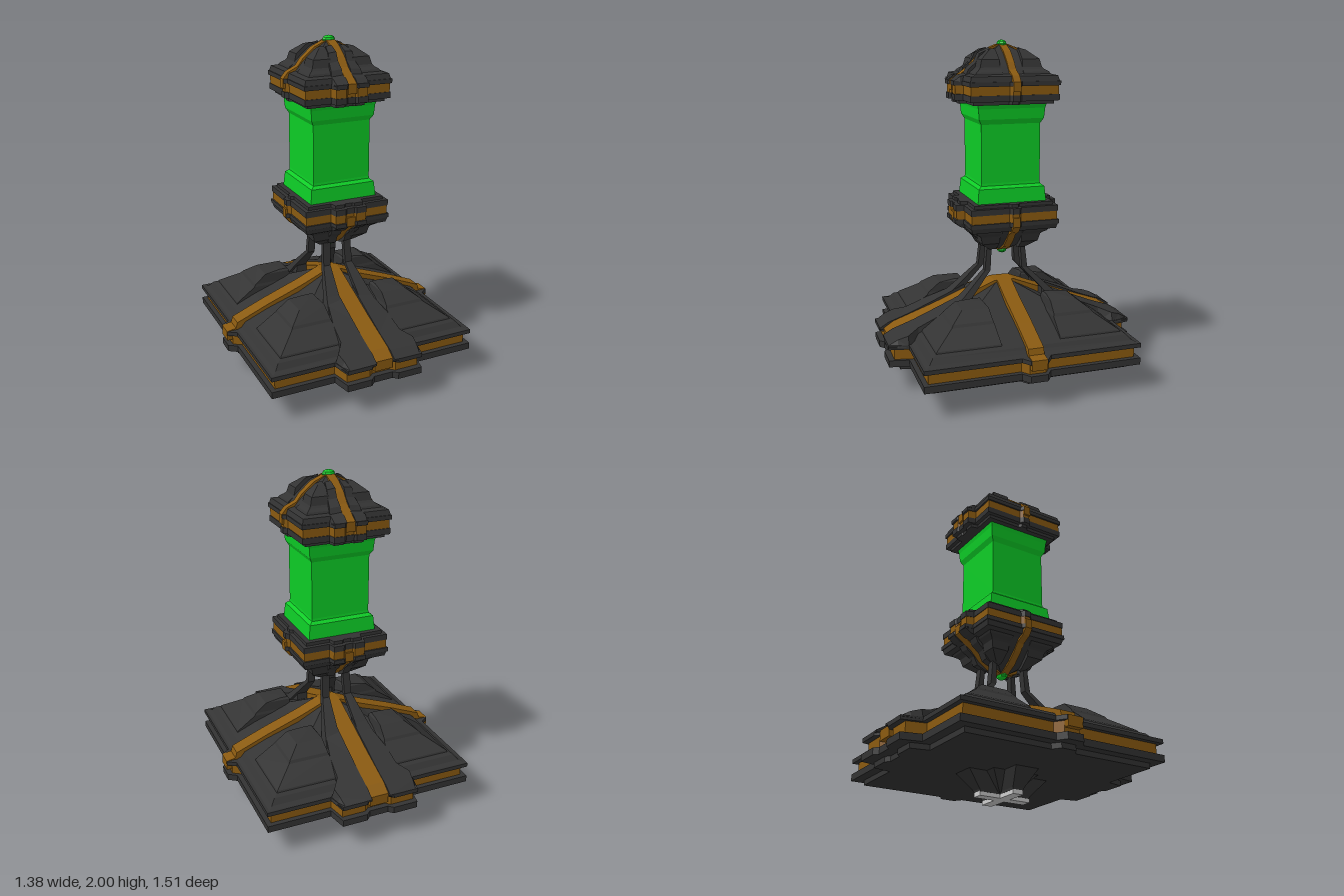
import * as THREE from 'three';

const mat = (color) => new THREE.MeshStandardMaterial({ color, flatShading: true, side: THREE.DoubleSide });
const dark = mat(0x333333), amber = mat(0x8a5a10), green = mat(0x0dcc26), grey = mat(0xcccccc);

// Skins a list of equal-length rings of [x, y, z] and caps both ends, facing outward
function loft(rings) {
  const tris = [];
  const n = rings[0].length;
  for (let i = 0; i < rings.length - 1; i++) {
    for (let j = 0; j < n; j++) {
      const k = (j + 1) % n;
      const a = rings[i][j], b = rings[i][k], c = rings[i + 1][k], d = rings[i + 1][j];
      tris.push([a, b, c], [a, c, d]);
    }
  }
  const cap = (ring, flip) => {
    const mid = [0, 1, 2].map((c) => ring.reduce((s, p) => s + p[c], 0) / n);
    ring.forEach((p, j) => {
      const q = ring[(j + 1) % n];
      tris.push(flip ? [mid, q, p] : [mid, p, q]);
    });
  };
  cap(rings[0], true);
  cap(rings[rings.length - 1], false);
  // signed volume tells whether the skin is inside out
  let volume = 0;
  for (const [a, b, c] of tris) {
    volume += a[0] * (b[1] * c[2] - b[2] * c[1]) + a[1] * (b[2] * c[0] - b[0] * c[2]) + a[2] * (b[0] * c[1] - b[1] * c[0]);
  }
  if (volume < 0) tris.forEach((t) => t.reverse());
  const geo = new THREE.BufferGeometry();
  geo.setAttribute('position', new THREE.Float32BufferAttribute(tris.flat(2), 3));
  geo.computeVertexNormals();
  return geo;
}

function add(group, name, geo, material) {
  const mesh = new THREE.Mesh(geo, material);
  mesh.name = name;
  group.add(mesh);
  return mesh;
}

const rect = (x0, x1, z0, z1, y) => [[x0, y, z0], [x1, y, z0], [x1, y, z1], [x0, y, z1]];
const square = ([r, y]) => rect(-r, r, -r, r, y);

// Plan of the rim: a square with a notched bump front and back and a small bump each side
const quarter = [[0.69, 0.05], [0.64, 0.085], [0.64, 0.64], [0.26, 0.64], [0.235, 0.755], [0.085, 0.755], [0.058, 0.73]];
const mirrored = (sx, sz) => quarter.map(([x, z]) => [x * sx, z * sz]);
const plan = [
  ...mirrored(1, 1), ...mirrored(-1, 1).reverse(),
  ...mirrored(-1, -1), ...mirrored(1, -1).reverse(),
];

// One roof-like shell: layered rim, stepped pyramid, corner plates, ridges and flanks
function shell(name, o, mapY = (y) => y) {
  const group = new THREE.Group();
  group.name = name;
  const build = (part, rings, material) =>
    add(group, part, loft(rings.map((ring) => ring.map(([x, y, z]) => [x, mapY(y), z]))), material);

  for (const [part, k, y0, y1] of o.layers) {
    const ring = (y, f) => plan.map(([x, z]) => [x * f * o.s, y, z * f * o.s]);
    build(part, [ring(y0, k), ring(y1, k)], part === 'rimBand' ? amber : dark);
  }
  build('pyramid', o.core.map(square), dark);

  for (const sx of [1, -1]) {
    for (const sz of [1, -1]) {
      // raised plate wrapping each corner of the pyramid
      const plate = o.plate.map(([a, r, y]) => rect(a * sx, r * sx, a * sz, r * sz, y));
      build('cornerPlate', plate, dark);
      // raised flank beside the front and back ridges
      const flank = o.flank.map(([r, y, w]) => [
        [o.zHalf * sx, y, r * sz], [w * sx, y - 0.006, r * sz],
        [(w + o.bevel) * sx, o.flankBase, r * sz], [o.zHalf * sx, o.flankBase, r * sz],
      ]);
      build('ridgeFlank', flank, dark);
    }
  }

  // amber ridges running from the rim to the apex on all four faces
  for (const side of [1, -1]) {
    const section = (r, y, w) => [[-w, y, r], [w, y, r], [w, o.ridgeBase, r], [-w, o.ridgeBase, r]];
    build('ridgeZ', o.ridgeZ.map(([r, y]) => section(r * side, y, o.zHalf)), amber);
    build('ridgeX', o.ridgeX.map(([r, y]) => section(r * side, y, o.xHalf).map(([a, b, c]) => [c, b, a])), amber);
  }
  return group;
}

const baseShape = {
  s: 1, zHalf: 0.056, xHalf: 0.046, bevel: 0.02, ridgeBase: 0.23, flankBase: 0.28,
  layers: [
    ['rimUnderside', 0.91, 0.13, 0.16], ['rimLowerLip', 1, 0.16, 0.2],
    ['rimBand', 0.955, 0.2, 0.265], ['rimUpperLip', 1, 0.265, 0.29],
  ],
  core: [[0.635, 0.285], [0.6, 0.3], [0.575, 0.33], [0.43, 0.39], [0.22, 0.46], [0.055, 0.545]],
  plate: [[0.17, 0.56, 0.32], [0.175, 0.545, 0.35], [0.18, 0.43, 0.43], [0.185, 0.42, 0.445], [0.19, 0.35, 0.5], [0.2, 0.25, 0.512]],
  flank: [[0.755, 0.292, 0.22], [0.7, 0.325, 0.23], [0.64, 0.345, 0.24], [0.57, 0.37, 0.19], [0.45, 0.42, 0.18], [0.32, 0.475, 0.15], [0.22, 0.52, 0.12]],
  ridgeZ: [[0.732, 0.29], [0.67, 0.33], [0.43, 0.415], [0.2, 0.505], [0.06, 0.56], [0, 0.56]],
  ridgeX: [[0.692, 0.29], [0.635, 0.3], [0.625, 0.335], [0.43, 0.415], [0.2, 0.5], [0.06, 0.56], [0, 0.56]],
};

const capShape = {
  s: 0.42, zHalf: 0.026, xHalf: 0.022, bevel: 0.008, ridgeBase: 1.72, flankBase: 1.77,
  layers: [
    ['rimUnderside', 0.89, 1.645, 1.665], ['rimLowerLip', 0.98, 1.665, 1.7],
    ['rimBand', 0.965, 1.7, 1.75], ['rimUpperLip', 1, 1.75, 1.775],
  ],
  core: [[0.265, 1.77], [0.255, 1.805], [0.215, 1.815], [0.175, 1.86], [0.1, 1.925], [0.025, 1.97]],
  plate: [[0.06, 0.235, 1.79], [0.062, 0.215, 1.825], [0.065, 0.185, 1.845], [0.068, 0.172, 1.895], [0.07, 0.11, 1.945], [0.072, 0.085, 1.952]],
  flank: [[0.316, 1.777, 0.095], [0.28, 1.805, 0.1], [0.24, 1.815, 0.095], [0.225, 1.845, 0.09], [0.18, 1.88, 0.08], [0.155, 1.93, 0.075], [0.09, 1.958, 0.06]],
  ridgeZ: [[0.308, 1.775], [0.27, 1.8], [0.2, 1.85], [0.15, 1.905], [0.08, 1.955], [0.03, 1.975], [0, 1.975]],
  ridgeX: [[0.291, 1.775], [0.262, 1.81], [0.2, 1.84], [0.17, 1.88], [0.1, 1.94], [0.03, 1.972], [0, 1.972]],
};

export function createModel() {
  const model = new THREE.Group();
  model.name = 'lantern';

  // Base and the two caps; the lower cap is the upper one turned upside down
  const flip = (y) => 2.72 - y;
  model.add(shell('base', baseShape), shell('upperCap', capShape), shell('lowerCap', capShape, flip));

  // Glowing square column with a flared foot and head
  const column = [[0.21, 1.06], [0.2, 1.16], [0.18, 1.175], [0.178, 1.19], [0.178, 1.53], [0.195, 1.56], [0.2, 1.62], [0.21, 1.66]];
  add(model, 'glowColumn', loft(column.map(square)), green);

  // Glowing studs at the tips of the caps
  for (const y of [1.977, 0.743]) {
    const stud = add(model, 'glowStud', new THREE.SphereGeometry(1, 8, 6), green);
    stud.scale.set(0.04, 0.023, 0.03);
    stud.position.y = y;
  }

  // Four bent legs carrying the lantern
  const legPath = [[0.045, 0.09, 0.085, 0.118, 0.82], [0.045, 0.09, 0.092, 0.122, 0.76], [0.05, 0.095, 0.1, 0.135, 0.64],
    [0.06, 0.14, 0.22, 0.275, 0.505], [0.06, 0.165, 0.28, 0.36, 0.43]];
  for (const sx of [1, -1]) {
    for (const sz of [1, -1]) {
      add(model, 'leg', loft(legPath.map(([x0, x1, z0, z1, y]) => rect(x0 * sx, x1 * sx, z0 * sz, z1 * sz, y))), dark);
    }
  }

  // Cross-shaped foot: two flared blades with a core and a pale sole
  const blade = [[0.16, 0.033, 0.022], [0.165, 0.035, 0.035], [0.26, 0.075, 0.135]];
  add(model, 'footBladeX', loft(blade.map(([l, w, y]) => rect(-l, l, -w, w, y))), dark);
  add(model, 'footBladeZ', loft(blade.map(([l, w, y]) => rect(-w, w, -l, l, y))), dark);
  add(model, 'footCore', loft([[0.045, 0.03], [0.15, 0.135]].map(square)), dark);
  const s = 0.032, e = 0.162;
  const cross = [[e, s], [s, s], [s, e], [-s, e], [-s, s], [-e, s], [-e, -s], [-s, -s], [-s, -e], [s, -e], [s, -s], [e, -s]];
  add(model, 'footSole', loft([0, 0.025].map((y) => cross.map(([x, z]) => [x, y, z]))), grey);

  return model;
}
